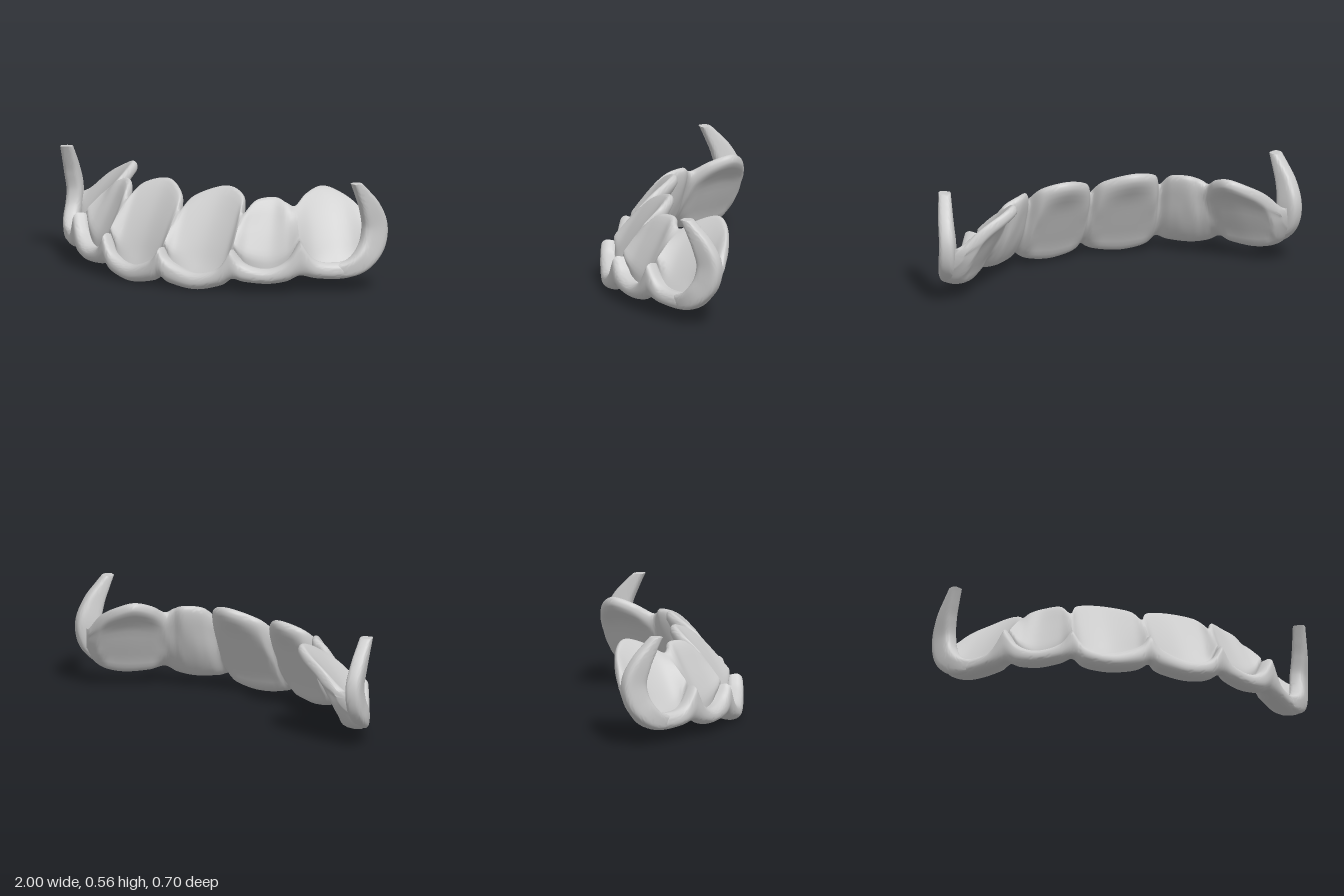
import * as THREE from 'three';
import { toCreasedNormals } from 'three/addons/utils/BufferGeometryUtils.js';

const V = (x, y, z) => new THREE.Vector3(x, y, z);
const smoothCurve = points => new THREE.CatmullRomCurve3(points, false, 'catmullrom', 0.5);

// Stations from the middle of the arch to one end:
// outer x, outer z, lip top y, underside y, plate top x, y, z
const HALF_ARCH = [
  [0, 0.348, 0.2, 0.05, 0, 0.37, 0.125], // middle gap
  [0.06, 0.346, 0.13, 0.022, 0.045, 0.445, 0.05],
  [0.2, 0.33, 0.085, 0.001, 0.18, 0.497, -0.035],
  [0.33, 0.297, 0.12, 0.028, 0.31, 0.465, 0],
  [0.4, 0.27, 0.22, 0.068, 0.36, 0.385, 0.08], // central to lateral gap
  [0.46, 0.24, 0.145, 0.053, 0.395, 0.45, 0.005],
  [0.57, 0.182, 0.122, 0.045, 0.46, 0.462, -0.065],
  [0.66, 0.125, 0.165, 0.06, 0.52, 0.438, -0.075],
  [0.72, 0.08, 0.268, 0.09, 0.55, 0.42, -0.105], // lateral to canine gap
  [0.78, 0.02, 0.166, 0.073, 0.55, 0.47, -0.2],
  [0.86, -0.07, 0.15, 0.064, 0.577, 0.5, -0.295],
  [0.92, -0.14, 0.165, 0.077, 0.65, 0.475, -0.338],
  [0.96, -0.2, 0.22, 0.115, 0.76, 0.415, -0.35],
  [0.97, -0.26, 0.3, 0.195, 0.87, 0.315, -0.335],
];
const ARCH = [
  ...HALF_ARCH.slice(1).reverse().map(([ox, oz, lip, bot, tx, ty, tz]) => [-ox, oz, lip, bot, -tx, ty, tz]),
  ...HALF_ARCH,
];
const GAPS = [0, 5, 9, 13, 17, 21, 26]; // station numbers where teeth meet

// Skins closed rings of points; side = -1 mirrors across x
function loft(rings, side = 1) {
  const n = rings[0].length, pos = [], index = [];
  rings.forEach(r => r.forEach(p => pos.push(p.x * side, p.y, p.z)));
  for (let i = 0; i < rings.length - 1; i++) {
    for (let j = 0; j < n; j++) {
      const a = i * n + j, b = i * n + (j + 1) % n, c = a + n, d = b + n;
      if (side > 0) index.push(a, b, c, b, d, c);
      else index.push(a, c, b, b, c, d);
    }
  }
  const g = new THREE.BufferGeometry();
  g.setAttribute('position', new THREE.Float32BufferAttribute(pos, 3));
  g.setIndex(index);
  return toCreasedNormals(g, 0.75);
}

// A ring collapsed to its centre closes an end
function cap(ring) {
  const c = V(0, 0, 0);
  ring.forEach(p => c.addScaledVector(p, 1 / ring.length));
  return ring.map(() => c.clone());
}

// J-shaped section: outer lip, underside, rear of the plate, rim, hollow front
function section(o, t, lip, bot) {
  const dir = V(t.x - o.x, 0, t.z - o.z), L = dir.length(), top = t.y;
  dir.normalize();
  const w = Math.min(0.075, L * 0.34), k = w / 0.075;
  const front = (d, f) => [L * d, lip + f * (top - lip)];
  // The rear follows one common slope, so the gaps between teeth stay shallow
  const rear = (d, f) => {
    const rise = f * (top - bot);
    return [Math.min(L * d, 0.115 + 0.52 * rise), bot + rise];
  };
  const outline = [
    [w * 0.95, lip - 0.002], [w * 0.4, lip + 0.003], [w * 0.1, lip - 0.012], [0, lip - 0.35 * (lip - bot)],
    [0.002 * k, bot + 0.3 * (lip - bot)], [0.02 * k, bot + 0.008], [0.055 * k, bot],
    rear(0.4, 0.05), rear(0.6, 0.2), rear(0.79, 0.42), rear(0.92, 0.68),
    [L, top - 0.045 * k], [L - 0.003 * k, top - 0.01 * k],
    [L - 0.02 * k, top], [L - 0.042 * k, top - 0.014 * k],
    front(0.62, 0.64), front(0.43, 0.34), front(0.31, 0.12),
    [w * 1.02, lip - 0.012 * k], // sharp seat behind the lip
  ].map(([d, y]) => V(d, y, 0));
  const pts = new THREE.CatmullRomCurve3(outline, false, 'centripetal').getPoints(54);
  return pts.map(p => V(o.x, p.y, o.z).addScaledVector(dir, p.x));
}

// Shell over all six teeth: smooth along the arch, lip pointed at every gap
function archShell() {
  const outer = smoothCurve(ARCH.map(s => V(s[0], s[3], s[1])));
  const rim = smoothCurve(ARCH.map(s => V(s[4], s[5], s[6])));
  const rings = [], perStation = 8;
  for (let g = 0; g < GAPS.length - 1; g++) {
    const from = GAPS[g], to = GAPS[g + 1], steps = (to - from) * perStation;
    const lip = smoothCurve(ARCH.slice(from, to + 1).map(s => V(0, s[2], 0)));
    for (let i = g ? 1 : 0; i <= steps; i++) {
      const u = (from + i / perStation) / (ARCH.length - 1);
      const o = outer.getPoint(u);
      rings.push(section(o, rim.getPoint(u), lip.getPoint(i / steps).y, o.y));
    }
  }
  return loft([cap(rings[0]), ...rings, cap(rings[rings.length - 1])]);
}

// Clasp: flat band growing out of the lip, sweeping back, then up and forward
function clasp(side) {
  const stations = [ // x, y, z, half width, half thickness
    [0.755, 0.115, -0.015, 0.012, 0.01],
    [0.828, 0.112, -0.088, 0.034, 0.03],
    [0.882, 0.125, -0.14, 0.046, 0.038],
    [0.917, 0.162, -0.19, 0.057, 0.042],
    [0.938, 0.235, -0.244, 0.067, 0.043],
    [0.943, 0.33, -0.26, 0.067, 0.042],
    [0.938, 0.43, -0.225, 0.054, 0.039],
    [0.925, 0.505, -0.18, 0.037, 0.035],
    [0.911, 0.575, -0.134, 0.02, 0.031],
  ];
  const path = new THREE.CatmullRomCurve3(stations.map(s => V(s[0], s[1], s[2])));
  const size = smoothCurve(stations.map(s => V(s[3], s[4], 0)));
  const out = V(0.88, 0, 0.47).normalize(), rings = [], N = 48, M = 32, tipY = 0.566;
  const soft = c => Math.sign(c) * Math.pow(Math.abs(c), 0.6);
  for (let i = 0; i <= N; i++) {
    const u = i / N, p = path.getPoint(u), t = path.getTangent(u), s = size.getPoint(u);
    const nrm = out.clone().addScaledVector(t, -out.dot(t)).normalize();
    const wide = t.clone().cross(nrm);
    rings.push(Array.from({ length: M }, (_, j) => {
      const a = j / M * Math.PI * 2;
      const q = p.clone().addScaledVector(nrm, soft(Math.cos(a)) * s.y).addScaledVector(wide, soft(Math.sin(a)) * s.x);
      // The tip is cut off level
      if (q.y > tipY || i === N) q.addScaledVector(t, (tipY - q.y) / t.y);
      return q;
    }));
  }
  return loft([cap(rings[0]), ...rings, cap(rings[N])], side);
}

export function createModel() {
  const model = new THREE.Group();
  model.name = 'dentalSplint';
  const material = new THREE.MeshStandardMaterial({ color: 0xcccccc, side: THREE.DoubleSide });
  const add = (geometry, name) => {
    const mesh = new THREE.Mesh(geometry, material);
    mesh.name = name;
    model.add(mesh);
  };
  add(archShell(), 'toothShell');
  add(clasp(1), 'leftClasp');
  add(clasp(-1), 'rightClasp');
  return model;
}
